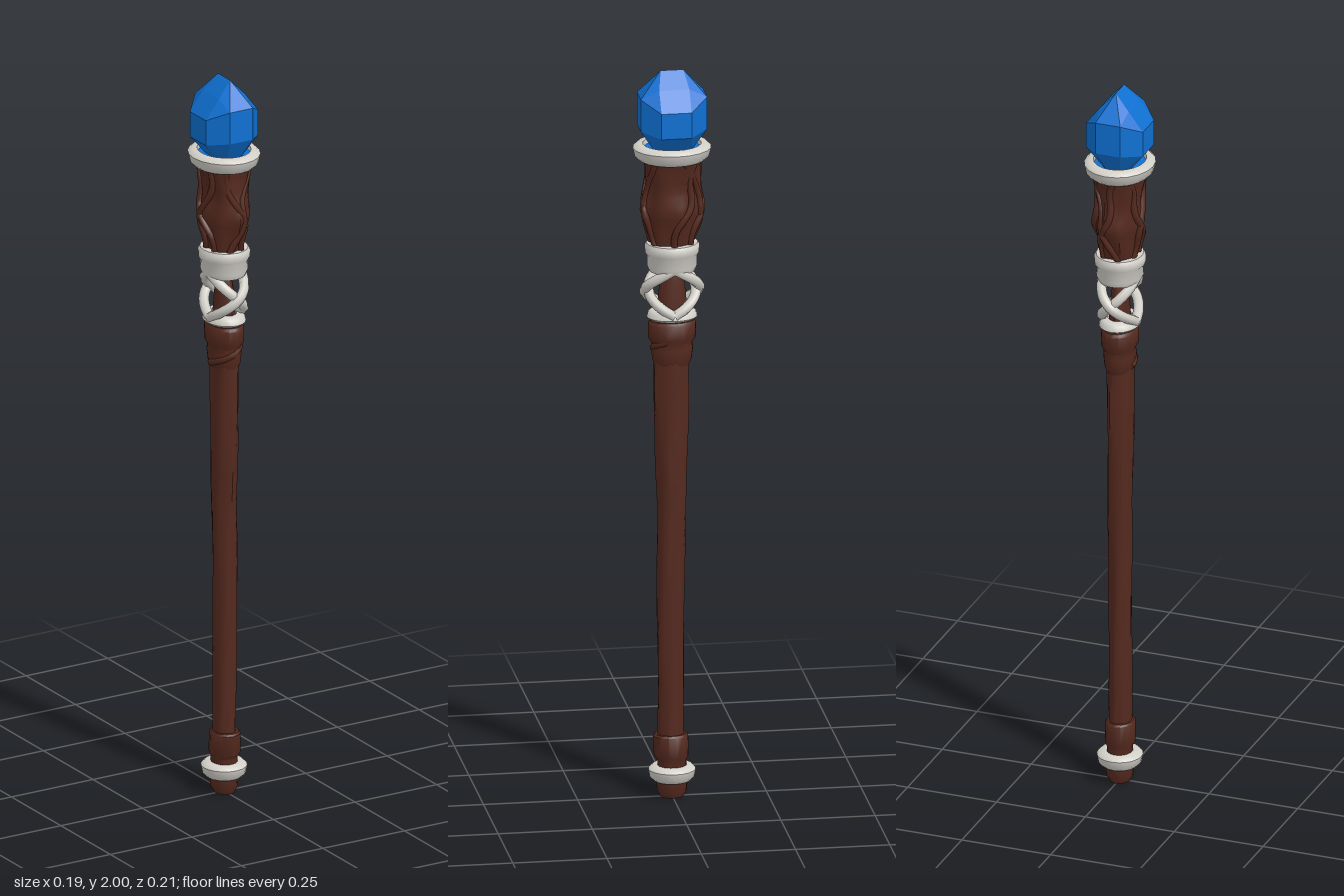
import * as THREE from 'three';
import { toCreasedNormals } from 'three/addons/utils/BufferGeometryUtils.js';
import { ConvexGeometry } from 'three/addons/geometries/ConvexGeometry.js';

const mat = (name, color) => Object.assign(new THREE.MeshStandardMaterial({ color }), { name });

// Elliptical column through sections [y, rx, rz, cz], listed from top to bottom
function loft(sections, sides = 14, steps = 1, ripple = () => 1) {
  const rows = (sections.length - 1) * steps;
  const geo = new THREE.CylinderGeometry(1, 1, 1, sides, rows);
  const p = geo.attributes.position;
  for (let i = 0; i < p.count; i++) {
    const row = Math.round((0.5 - p.getY(i)) * rows);
    const k = Math.min(Math.floor(row / steps), sections.length - 2);
    const t = row / steps - k;
    const [y, rx, rz, cz] = [0, 1, 2, 3].map((c) =>
      THREE.MathUtils.lerp(sections[k][c] ?? 0, sections[k + 1][c] ?? 0, t));
    const x = p.getX(i), z = p.getZ(i);
    const s = ripple(Math.atan2(z, x), y);
    p.setXYZ(i, x * rx * s, y, z * rz * s + cz);
  }
  return toCreasedNormals(geo, 0.75);
}

// Hollow oval band with rounded outer edges
function band(y0, y1, rx0, rx1, stretch, wall = 0.022, sides = 20) {
  const h = y1 - y0, b = Math.min(0.01, h * 0.25);
  const profile = [
    [rx0 - wall, y0], [rx0 - b, y0], [rx0, y0 + b], [rx1, y1 - b],
    [rx1 - b, y1], [rx1 - wall, y1], [rx0 - wall, y0],
  ].map(([x, y]) => new THREE.Vector2(x, y));
  const geo = new THREE.LatheGeometry(profile, sides);
  geo.scale(1, 1, stretch);
  return toCreasedNormals(geo, 0.85);
}

// Strand running along a function of t in 0..1
function strand(fn, radius, segs = 18) {
  const pts = Array.from({ length: 10 }, (_, i) => new THREE.Vector3(...fn(i / 9)));
  return new THREE.TubeGeometry(new THREE.CatmullRomCurve3(pts), segs, radius, 7);
}

export function createModel() {
  const wood = mat('dark wood', 0x54291e);
  const bone = mat('pale bone', 0xd3d0c9);
  const crystal = mat('blue crystal', 0x0f70d2);
  const model = new THREE.Group();
  model.name = 'staff';
  const add = (name, geo, material) => {
    const mesh = new THREE.Mesh(geo, material);
    mesh.name = name;
    model.add(mesh);
    return mesh;
  };

  // Faceted crystal with a short ridge on top
  const gem = [];
  for (const sx of [-1, 1]) for (const sz of [-1, 1]) {
    for (const [x, y, z] of [
      [0, 2, 0.03], [0.04, 1.957, 0.04],
      [0.08, 1.905, 0.04], [0.035, 1.933, 0.088],
      [0.08, 1.835, 0.04], [0.035, 1.845, 0.088],
      [0.04, 1.785, 0.025], [0.02, 1.785, 0.05],
    ]) gem.push(new THREE.Vector3(x * sx, y, z * sz));
  }
  add('crystal', new ConvexGeometry(gem), crystal);
  add('crystalSeat', loft([[1.787, 0.074, 0.083], [1.765, 0.074, 0.083]], 20), crystal);
  add('crownRing', band(1.757, 1.8, 0.088, 0.093, 1.12, 0.024), bone);

  // Gnarled head with twisting roots
  const headSections = [
    [1.768, 0.07, 0.078], [1.74, 0.064, 0.074], [1.68, 0.055, 0.072],
    [1.62, 0.062, 0.08], [1.57, 0.052, 0.066], [1.51, 0.043, 0.05],
  ];
  add('gnarledHead', loft(headSections, 28, 3, (a, y) =>
    1 + 0.05 * Math.sin(7 * a + 14 * y) + 0.035 * Math.sin(4 * a - 30 * y)), wood);
  for (let i = 0; i < 7; i++) {
    const a0 = (i / 7) * Math.PI * 2, dir = i % 2 ? 1 : -0.7;
    add('headRoot', strand((t) => {
      const a = a0 + dir * t * 1.3 + 0.15 * Math.sin(t * 9 + i);
      const r = 0.044 + 0.018 * Math.exp(-(((t - 0.4) / 0.25) ** 2)) + 0.018 * t * t;
      return [r * Math.cos(a), 1.52 + t * 0.24, r * 1.2 * Math.sin(a)];
    }, 0.009), wood);
  }

  // Upper collar with a raised lip
  add('upperCollar', loft([
    [1.527, 0.062, 0.068], [1.518, 0.068, 0.073], [1.5, 0.067, 0.071], [1.492, 0.061, 0.066],
    [1.465, 0.062, 0.066], [1.45, 0.055, 0.06],
  ], 20), bone);

  // Open lattice: strands cross at the front and back around a thin core
  for (const side of [-1, 1]) for (const turn of [-1, 1]) {
    add('latticeStrand', strand((t) => {
      const a = t * Math.PI;
      const out = 1 + turn * 0.07 * Math.sin(a);
      return [turn * 0.044 * Math.cos(a), 1.462 - t * 0.128, side * 0.068 * Math.sin(a) * out];
    }, 0.014), bone);
  }
  add('latticeFoot', band(1.317, 1.343, 0.054, 0.051, 1.25, 0.02), bone);
  add('latticeCore', loft([
    [1.46, 0.015, 0.018], [1.41, 0.022, 0.034], [1.35, 0.026, 0.04], [1.29, 0.032, 0.048],
  ], 12), wood);

  // Wrapped binding at the top of the shaft
  add('shaftBinding', loft([
    [1.313, 0.042, 0.058], [1.305, 0.048, 0.064], [1.265, 0.047, 0.063], [1.252, 0.04, 0.054],
    [1.235, 0.042, 0.056], [1.205, 0.039, 0.052], [1.19, 0.033, 0.046],
  ], 16), wood);
  add('diagonalWrap', strand((t) => {
    const a = 0.2 + t * Math.PI;
    return [0.035 * Math.cos(a), 1.265 - 0.06 * t, 0.049 * Math.sin(a)];
  }, 0.01), wood);

  // Uneven shaft with shallow twisting grain
  add('shaft', loft([
    [1.22, 0.035, 0.046, 0.003], [1.1, 0.034, 0.046, 0.002], [0.95, 0.033, 0.043, 0.002],
    [0.8, 0.031, 0.038, -0.001], [0.65, 0.031, 0.037, 0.003], [0.45, 0.03, 0.035, 0.005],
    [0.25, 0.03, 0.034, 0.004], [0.13, 0.03, 0.034, 0.003],
  ], 18, 3, (a, y) => 1 + 0.045 * Math.sin(5 * a + 7 * y) + 0.02 * Math.sin(3 * a - 19 * y)), wood);

  // Foot: wooden sleeve, pale ring and rounded tip
  add('lowerSleeve', loft([
    [0.173, 0.035, 0.042, 0.004], [0.168, 0.039, 0.047, 0.004],
    [0.112, 0.04, 0.046, 0.002], [0.1, 0.034, 0.038], [0.07, 0.035, 0.04],
  ], 14), wood);
  add('footRing', band(0.045, 0.086, 0.057, 0.061, 1.03, 0.028), bone);
  add('footTip', loft([
    [0.08, 0.036, 0.04], [0.045, 0.037, 0.042], [0.015, 0.035, 0.039], [0, 0.027, 0.031],
  ], 12), wood);

  return model;
}
